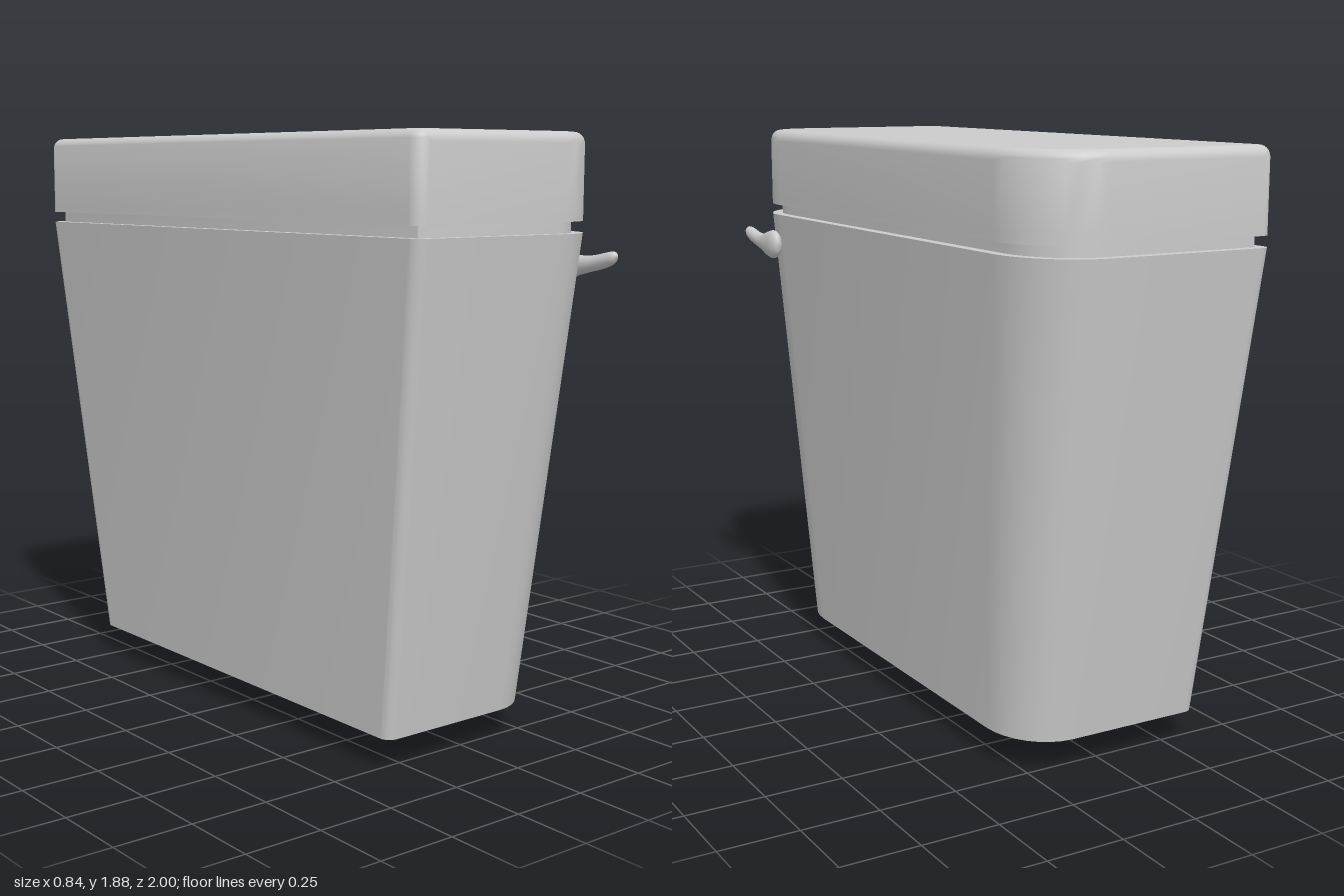
import * as THREE from 'three';
import { toCreasedNormals } from 'three/addons/utils/BufferGeometryUtils.js';

const material = new THREE.MeshStandardMaterial({ color: 0xcccccc });
const openMaterial = new THREE.MeshStandardMaterial({ color: 0xcccccc, side: THREE.DoubleSide });
const CORNER_STEPS = 8;

// Plan outline: broad rounded corners on +x, tight ones on -x
function outline({ x0, x1, hz, front, back }) {
  const corners = [
    [x1, hz, 1, 1, front, 0],
    [x0, hz, -1, 1, back, 1],
    [x0, -hz, -1, -1, back, 2],
    [x1, -hz, 1, -1, front, 3],
  ];
  const points = [];
  for (const [x, z, sx, sz, [rx, rz], quarter] of corners) {
    for (let i = 0; i <= CORNER_STEPS; i++) {
      const a = (quarter + i / CORNER_STEPS) * Math.PI / 2;
      points.push([x - sx * rx + rx * Math.cos(a), z - sz * rz + rz * Math.sin(a)]);
    }
  }
  return points;
}

// Outline of the rim, moved inwards by d
const rim = (y, d = 0) => ({
  y, x0: -0.42 + d, x1: 0.37 - d, hz: 1 - d,
  front: [0.22 - d, 0.26 - d], back: [Math.max(0.04 - d, 0.008), Math.max(0.04 - d, 0.008)],
});

// Closed solid through stacked outlines
function loft(levels) {
  const pos = [], index = [];
  const rings = levels.map(outline);
  const n = rings[0].length;
  rings.forEach((ring, k) => ring.forEach(([x, z]) => pos.push(x, levels[k].y, z)));
  for (let k = 0; k < rings.length - 1; k++) {
    for (let i = 0; i < n; i++) {
      const a = k * n + i, b = k * n + (i + 1) % n;
      index.push(a, a + n, b, b, a + n, b + n);
    }
  }
  const last = rings.length - 1, bottom = pos.length / 3, top = bottom + 1;
  for (const k of [0, last]) pos.push((levels[k].x0 + levels[k].x1) / 2, levels[k].y, 0);
  for (let i = 0; i < n; i++) {
    const j = (i + 1) % n;
    index.push(bottom, i, j, top, last * n + j, last * n + i);
  }
  const g = new THREE.BufferGeometry();
  g.setAttribute('position', new THREE.Float32BufferAttribute(pos, 3));
  g.setIndex(index);
  return toCreasedNormals(g, 0.6);
}

// Lever: a lathed teardrop laid along z, flattened in x and bent in y
function leverGeometry() {
  const profile = new THREE.SplineCurve([
    [0, 0], [0.03, 0.009], [0.047, 0.03], [0.05, 0.055], [0.043, 0.09],
    [0.031, 0.13], [0.025, 0.18], [0.023, 0.24], [0.017, 0.268], [0, 0.28],
  ].map(([r, s]) => new THREE.Vector2(r, s))).getPoints(40);
  profile.forEach((p) => { p.x = Math.max(p.x, 0); });
  const g = new THREE.LatheGeometry(profile, 24);
  g.rotateX(Math.PI / 2);
  const p = g.attributes.position;
  for (let i = 0; i < p.count; i++) {
    const s = p.getZ(i);
    const flat = THREE.MathUtils.lerp(0.5, 0.9, THREE.MathUtils.smoothstep(s, 0.04, 0.2));
    const bend = 1.48 - 0.15 * s + 0.9 * s * s;
    p.setXYZ(i, 0.39 + p.getX(i) * flat, p.getY(i) + bend, 0.71 + s);
  }
  g.computeVertexNormals();
  return g;
}

export function createModel() {
  const model = new THREE.Group();
  const add = (name, geometry, mat = material) => {
    const mesh = new THREE.Mesh(geometry, mat);
    mesh.name = name;
    model.add(mesh);
    return mesh;
  };

  // Tapered tank
  add('tankBody', loft([
    { y: 0.1, x0: -0.34, x1: 0.3, hz: 0.8, front: [0.18, 0.21], back: [0.035, 0.035] },
    rim(1.58),
  ]));

  // Recessed band between tank and lid
  add('lidSeat', loft([rim(1.57, 0.035), rim(1.63, 0.035)]));

  // Lid with a rounded upper edge
  const r = 0.035;
  const lid = [rim(1.615), rim(1.64)];
  for (let i = 0; i <= 6; i++) {
    const a = i / 6 * Math.PI / 2;
    lid.push(rim(1.875 - r + r * Math.sin(a), r * (1 - Math.cos(a))));
  }
  lid.push(rim(1.875, r + 0.008));
  add('lid', loft(lid));

  add('flushLever', leverGeometry());

  // Hollow square outlets under the tank
  for (const side of [1, -1]) {
    const foot = new THREE.Group();
    foot.name = side > 0 ? 'frontOutlet' : 'rearOutlet';
    for (let i = 0; i < 4; i++) {
      const alongX = i % 2 === 0;
      const wall = new THREE.Mesh(new THREE.PlaneGeometry(alongX ? 0.1 : 0.14, 0.1), openMaterial);
      wall.name = 'outletWall';
      wall.rotation.y = i * Math.PI / 2;
      wall.position.set([0, 0.05, 0, -0.05][i], 0, [0.07, 0, -0.07, 0][i]);
      foot.add(wall);
    }
    foot.position.set(-0.02, 0.05, side * 0.41);
    model.add(foot);
  }
  return model;
}
